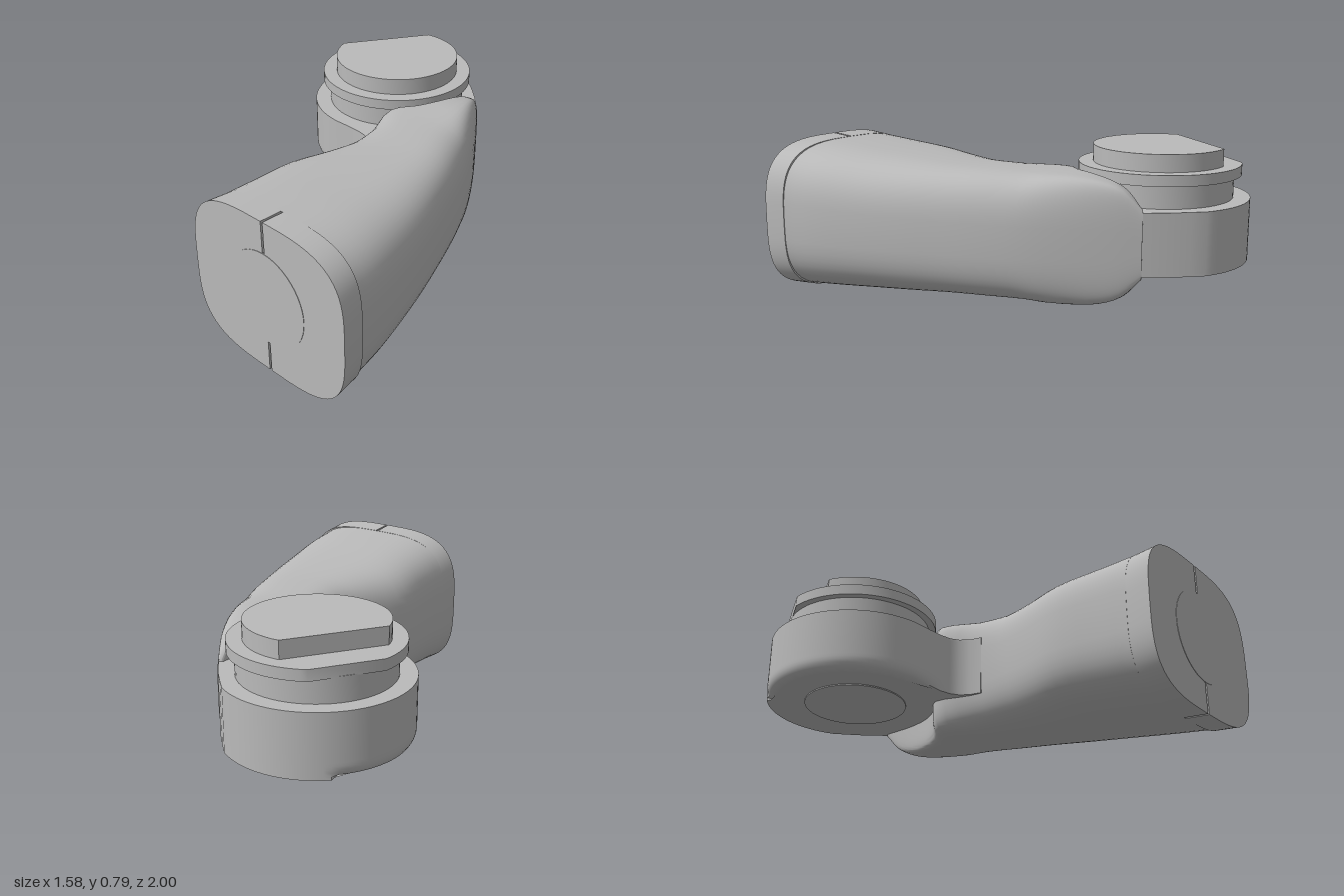
import * as THREE from 'three';
import { toCreasedNormals } from 'three/addons/utils/BufferGeometryUtils.js';

const grey = new THREE.MeshStandardMaterial({ color: 0xbababa });
grey.name = 'plain grey';
const HUB = { x: -0.36, z: -0.565 };

function part(name, geometry, crease = 0.6) {
  const mesh = new THREE.Mesh(toCreasedNormals(geometry, crease), grey);
  mesh.name = name;
  return mesh;
}

// Horizontal plate from [x, z] points, between two heights
function plate(points, y0, y1, steps = 1) {
  const shape = new THREE.Shape(points.map(([x, z]) => new THREE.Vector2(x, -z)));
  const g = new THREE.ExtrudeGeometry(shape, { depth: y1 - y0, bevelEnabled: false, steps });
  return g.rotateX(-Math.PI / 2).translate(0, y0, 0);
}

// Arc around the hub axis; degrees run counterclockwise seen from above
function arc(r, from, to, n = 64) {
  return Array.from({ length: n + 1 }, (_, i) => {
    const a = THREE.MathUtils.degToRad(from + (to - from) * i / n);
    return [HUB.x + r * Math.cos(a), HUB.z - r * Math.sin(a)];
  });
}

// Rounded-square coordinates on a unit section
function superPoint(t, n) {
  const c = Math.cos(t), s = Math.sin(t), p = 2 / n;
  return [Math.sign(c) * Math.abs(c) ** p, Math.sign(s) * Math.abs(s) ** p];
}

// Curved arm: sections span from an inner edge to an outer edge
function armGeometry() {
  // inner x, z, outer x, z, bottom, top, inner squareness
  const rows = [
    [-0.128, 0.88, 0.772, 0.88, 0.01, 0.76, 3.4],
    [-0.14, 0.7, 0.74, 0.7, 0.027, 0.745, 3.4],
    [-0.155, 0.48, 0.68, 0.48, 0.045, 0.725, 3.4],
    [-0.108, 0.29, 0.61, 0.27, 0.062, 0.71, 3.4],
    [-0.075, 0.12, 0.545, 0.1, 0.075, 0.7, 3.4],
    [-0.085, -0.05, 0.475, -0.07, 0.08, 0.695, 4],
    [-0.135, -0.235, 0.4, -0.23, 0.08, 0.69, 6],
    [-0.045, -0.33, 0.34, -0.34, 0.08, 0.69, 9],
    [0.01, -0.43, 0.265, -0.46, 0.085, 0.69, 10],
    [0.035, -0.55, 0.19, -0.57, 0.1, 0.675, 10],
    [0.038, -0.65, 0.125, -0.66, 0.14, 0.64, 8],
    [0.035, -0.73, 0.06, -0.745, 0.23, 0.55, 6],
  ];
  const inner = new THREE.CatmullRomCurve3(rows.map(r => new THREE.Vector3(r[0], r[4], r[1])));
  const outer = new THREE.CatmullRomCurve3(rows.map(r => new THREE.Vector3(r[2], r[5], r[3])));
  const N = 56, M = (rows.length - 1) * 3;
  const pos = [], idx = [];
  for (let i = 0; i <= M; i++) {
    const a = inner.getPoint(i / M), b = outer.getPoint(i / M);
    const k = Math.min(Math.floor(i / 3), rows.length - 2);
    const sq = THREE.MathUtils.lerp(rows[k][6], rows[k + 1][6], i / 3 - k);
    for (let j = 0; j < N; j++) {
      const t = j / N * Math.PI * 2;
      const [u, v] = superPoint(t, Math.cos(t) < 0 ? sq : 3.2);
      const f = (u + 1) / 2;
      pos.push(a.x + (b.x - a.x) * f, a.y + (b.y - a.y) * (v + 1) / 2, a.z + (b.z - a.z) * f);
    }
  }
  for (let i = 0; i < M; i++) for (let j = 0; j < N; j++) {
    const k = (j + 1) % N, p = i * N + j, q = i * N + k;
    idx.push(p, p + N, q, q, p + N, q + N);
  }
  // End faces
  for (const [i, flip] of [[0, false], [M, true]]) {
    const a = inner.getPoint(i / M), b = outer.getPoint(i / M), c = pos.length / 3;
    pos.push((a.x + b.x) / 2, (a.y + b.y) / 2, (a.z + b.z) / 2);
    for (let j = 0; j < N; j++) {
      const p = i * N + j, q = i * N + (j + 1) % N;
      idx.push(c, flip ? q : p, flip ? p : q);
    }
  }
  const g = new THREE.BufferGeometry();
  g.setAttribute('position', new THREE.Float32BufferAttribute(pos, 3));
  g.setIndex(idx);
  return g;
}

// Front end of the arm with a slit at top and bottom
function collarGeometry() {
  const cx = 0.33, cy = 0.385, w = 0.46, h = 0.385, slit = 0.006, N = 72;
  const pts = [];
  for (let j = 0; j < N; j++) {
    if (j === N / 4 || j === N * 3 / 4) {
      const s = j === N / 4 ? 1 : -1;
      for (const [dx, y] of [[s, h], [s, 0.22], [-s, 0.22], [-s, h]])
        pts.push(new THREE.Vector2(dx * slit, s * y));
    } else {
      const [u, v] = superPoint(j / N * Math.PI * 2, 3.4);
      pts.push(new THREE.Vector2(u * w, v * h));
    }
  }
  const g = new THREE.ExtrudeGeometry(new THREE.Shape(pts), { depth: 0.118, bevelEnabled: false });
  const p = g.attributes.position;
  // Slight taper toward the arm
  for (let i = 0; i < p.count; i++)
    if (p.getZ(i) < 0.01) p.setXY(i, p.getX(i) * 0.98 - 0.006, p.getY(i) * 0.977);
  return g.translate(cx, cy, 0.88);
}

// Round hub with a web blending into the arm and a half-rounded lower rim
function hubGeometry() {
  const web = [[-0.3, -0.13], [-0.22, -0.126], [-0.165, -0.115], [-0.125, -0.09], [-0.095, -0.05],
    [-0.078, 0.01], [0.05, 0.02], [0.25, -0.2], [0.2, -0.545], [0.12, -0.66], [0.05, -0.745],
    [-0.03, -0.835], [-0.1, -0.9]];
  const g = plate([...arc(0.435, 62, 268, 48), ...web], 0.24, 0.54, 20);
  const p = g.attributes.position;
  for (let i = 0; i < p.count; i++) {
    const dx = p.getX(i) - HUB.x, dz = p.getZ(i) - HUB.z, t = (0.3 - p.getY(i)) / 0.06;
    if (t > 0 && dz > dx && dx < 0.1 && Math.hypot(dx, dz) < 0.45) {
      const f = 1 - 0.1 * (1 - Math.sqrt(Math.max(0, 1 - t * t)));
      p.setX(i, HUB.x + dx * f);
      p.setZ(i, HUB.z + dz * f);
    }
  }
  return g;
}

export function createModel() {
  const model = new THREE.Group();
  model.name = 'curvedArm';
  model.add(part('arm', armGeometry(), 0.8));
  model.add(part('frontCollar', collarGeometry()));

  // Thin round plate on the front face
  const face = new THREE.CylinderGeometry(0.23, 0.23, 0.006, 48).rotateX(Math.PI / 2);
  model.add(part('frontDisc', face.translate(0.33, 0.385, 0.997)));

  model.add(part('hub', hubGeometry()));
  const base = new THREE.CylinderGeometry(0.25, 0.25, 0.008, 48).translate(HUB.x, 0.238, HUB.z);
  model.add(part('hubBottomDisc', base));

  // Stacked rings on the hub; the upper two have one flat side
  model.add(part('neck', plate(arc(0.355, 0, 354, 59), 0.53, 0.655)));
  model.add(part('flange', plate(arc(0.39, 173, 482), 0.65, 0.702)));
  model.add(part('cap', plate(arc(0.32, 196, 459), 0.695, 0.785)));
  return model;
}
